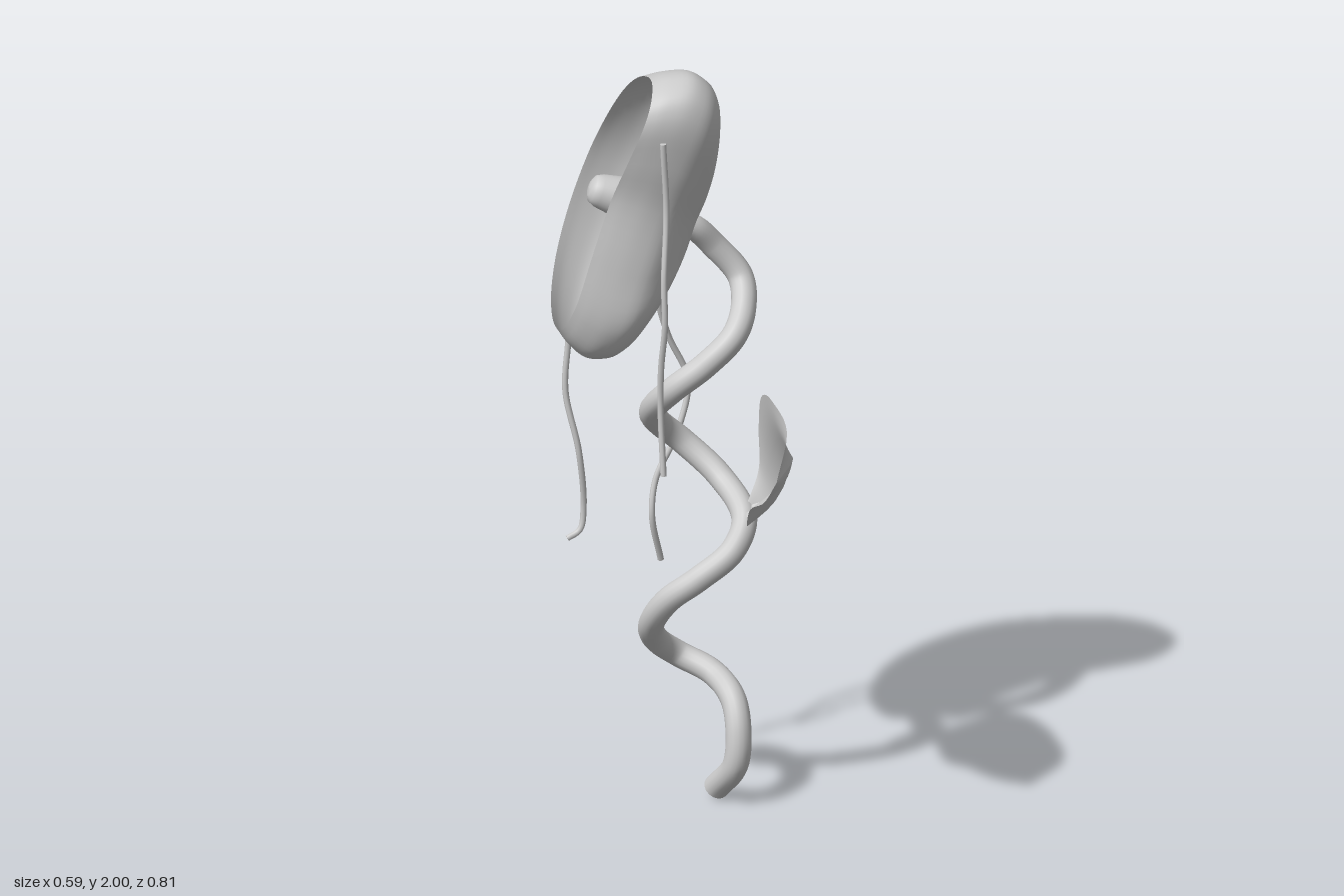
import * as THREE from 'three';

const V = (x, y, z) => new THREE.Vector3(x, y, z);
const material = new THREE.MeshStandardMaterial({ color: 0xcccccc, side: THREE.DoubleSide });
const curve = (pts, closed = false) => new THREE.CatmullRomCurve3(pts.map(p => V(...p)), closed, 'centripetal');

function add(group, name, geometry) {
  const mesh = new THREE.Mesh(geometry, material);
  mesh.name = name;
  group.add(mesh);
  return mesh;
}

// Skin over rows of points; closed rows wrap round to their first point.
function loft(rows, closed) {
  const n = rows[0].length, index = [];
  for (let i = 0; i < rows.length - 1; i++) {
    for (let j = 0; j < (closed ? n : n - 1); j++) {
      const k = (j + 1) % n;
      const a = i * n + j, b = i * n + k, c = a + n, d = b + n;
      index.push(a, c, b, b, c, d);
    }
  }
  const g = new THREE.BufferGeometry().setFromPoints(rows.flat());
  g.setIndex(index);
  g.computeVertexNormals();
  return g;
}

// Tube with flat end discs
function vine(group, name, pts, radius, segments, sides) {
  const path = curve(pts);
  add(group, name, new THREE.TubeGeometry(path, segments, radius, sides));
  for (const t of [0, 1]) {
    const cap = add(group, name + 'End', new THREE.CircleGeometry(radius, sides));
    const p = path.getPointAt(t);
    cap.position.copy(p);
    cap.lookAt(p.clone().addScaledVector(path.getTangentAt(t), t ? 1 : -1));
  }
}

export function createModel() {
  const model = new THREE.Group();
  model.name = 'bellFlowerVine';

  // Flower frame: u runs up the rim, w runs from the mouth to the base
  const centre = V(-0.16, 1.65, 0);
  const up = V(0.36, 0.933, 0), inward = V(0.933, -0.36, 0);
  const at = (u, z, w) => centre.clone().addScaledVector(up, u).addScaledVector(inward, w).add(V(0, 0, z));

  // Kidney-shaped outline (u, z) scaled through the depth of the bell
  const outline = curve([
    [0.40, -0.085, 0], [0.365, -0.015, 0], [0.30, 0.01, 0], [0.17, -0.003, 0], [0.04, -0.02, 0],
    [-0.13, 0.015, 0], [-0.27, 0.05, 0], [-0.36, 0.015, 0], [-0.39, -0.085, 0], [-0.36, -0.215, 0],
    [-0.275, -0.32, 0], [-0.15, -0.383, 0], [0.01, -0.402, 0], [0.14, -0.377, 0],
    [0.27, -0.312, 0], [0.36, -0.21, 0]], true).getPoints(80).slice(0, 80);
  const layers = curve([ // scale along u, scale along z, depth w
    [0.875, 0.98, -0.012], [0.95, 1, 0.03], [1, 1, 0.08], [0.97, 0.96, 0.13], [0.88, 0.86, 0.17],
    [0.72, 0.69, 0.203], [0.5, 0.48, 0.231], [0.25, 0.24, 0.25], [0.02, 0.02, 0.257]]).getPoints(32);
  const bell = layers.map(l => outline.map(p => at(p.x * l.x, -0.19 + (p.y + 0.19) * l.y, l.z)));
  add(model, 'flowerBell', loft(bell, true));

  // Tapered centre with a softly rounded tip
  const profile = [[0.076, 0], [0.071, 0.05], [0.065, 0.1], [0.053, 0.17], [0.043, 0.225],
    [0.035, 0.243], [0.02, 0.251], [0, 0.253]].map(p => new THREE.Vector2(...p));
  const pistil = add(model, 'flowerCentre', new THREE.LatheGeometry(profile, 32));
  pistil.position.copy(at(0, -0.19, 0.22));
  pistil.quaternion.setFromUnitVectors(V(0, 1, 0), inward.clone().negate().normalize());

  // Coiling main stem
  vine(model, 'stem', [
    [0.05, 1.55, -0.19], [0.08, 1.535, -0.195], [0.13, 1.48, -0.21], [0.195, 1.40, -0.195], [0.197, 1.34, -0.14],
    [0.165, 1.28, -0.085], [0.09, 1.21, -0.07], [0.01, 1.14, -0.09], [-0.03, 1.05, -0.185],
    [0, 0.98, -0.27], [0.06, 0.92, -0.295], [0.15, 0.84, -0.235], [0.195, 0.77, -0.115],
    [0.16, 0.70, -0.075], [0.07, 0.63, -0.065], [0, 0.57, -0.09], [-0.035, 0.48, -0.16],
    [-0.01, 0.40, -0.245], [0.05, 0.345, -0.28], [0.13, 0.31, -0.23], [0.17, 0.27, -0.145],
    [0.178, 0.20, -0.10], [0.17, 0.11, -0.095], [0.13, 0.022, -0.165]], 0.033, 260, 16);

  // Thin hanging tendrils
  const tendrils = {
    frontTendril: [[-0.03, 1.85, 0.012], [-0.02, 1.66, 0], [-0.03, 1.48, 0.03], [-0.028, 1.36, 0.032],
      [-0.035, 1.24, 0.012], [-0.035, 1.13, 0.002], [-0.03, 0.95, 0.02]],
    lowerTendril: [[-0.235, 1.28, -0.222], [-0.24, 1.22, -0.225], [-0.247, 1.1, -0.22], [-0.215, 0.94, -0.205],
      [-0.2, 0.78, -0.225], [-0.21, 0.72, -0.22], [-0.243, 0.70, -0.215]],
    backTendril: [[-0.015, 1.55, -0.362], [0, 1.44, -0.352], [0.002, 1.31, -0.342], [0.035, 1.18, -0.362],
      [0.087, 1.05, -0.372], [0.057, 0.92, -0.352], [0, 0.80, -0.338], [-0.012, 0.71, -0.32], [0.015, 0.575, -0.353]],
  };
  for (const [name, pts] of Object.entries(tendrils)) vine(model, name, pts, 0.008, 60, 8);

  // Leaf folded along its midrib: the upper half flares at the fold, the lower half is cupped
  const tip = [0.205, 1.07, 0.405], base = [0.2, 0.8, -0.12];
  const midrib = [tip, [0.255, 1.075, 0.3], [0.28, 1.04, 0.165], [0.291, 0.95, 0.01],
    [0.275, 0.86, -0.08], [0.25, 0.82, -0.11], base];
  const halves = {
    leafUpperHalf: { swell: -0.07, edge: [tip, [0.246, 1.165, 0.3], [0.228, 1.195, 0.165], [0.225, 1.135, -0.02],
      [0.235, 1.0, -0.14], [0.235, 0.89, -0.14], base] },
    leafLowerHalf: { swell: 0.14, edge: [tip, [0.187, 0.98, 0.31], [0.168, 0.915, 0.19], [0.172, 0.835, 0.095],
      [0.19, 0.8, 0], [0.195, 0.79, -0.07], base] },
  };
  for (const [name, { swell, edge }] of Object.entries(halves)) {
    const inner = curve(midrib), outer = curve(edge), rows = [];
    for (let i = 0; i <= 36; i++) {
      const a = inner.getPoint(i / 36), b = outer.getPoint(i / 36), row = [];
      for (let j = 0; j <= 6; j++) {
        const p = a.clone().lerp(b, j / 6);
        p.x += swell * a.distanceTo(b) * Math.sin(Math.PI * j / 6);
        row.push(p);
      }
      rows.push(row);
    }
    add(model, name, loft(rows, false));
  }
  return model;
}
